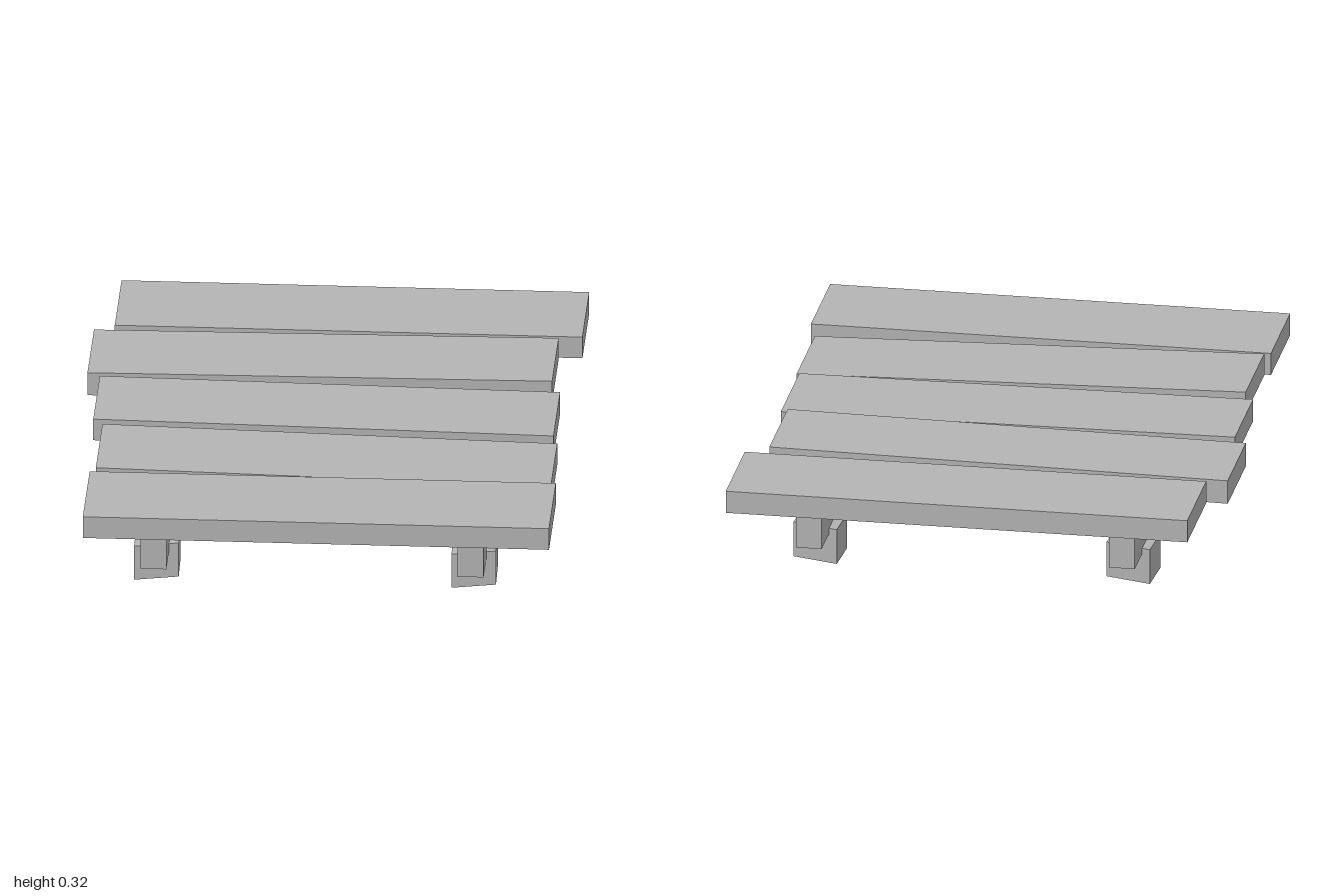
import * as THREE from 'three';

const wood = new THREE.MeshStandardMaterial({ color: 0xb4b4b4, side: THREE.DoubleSide });
wood.name = 'grey wood';

// Block spanning two ends along x; each end is { x, y: [low, high], z: [back, front] }
function block(name, left, right, openBottom) {
  const geo = new THREE.BoxGeometry(1, 1, 1);
  const p = geo.attributes.position;
  for (let i = 0; i < p.count; i++) {
    const end = p.getX(i) < 0 ? left : right;
    p.setXYZ(i, end.x, end.y[p.getY(i) < 0 ? 0 : 1], end.z[p.getZ(i) < 0 ? 0 : 1]);
  }
  // Leave out the underside of hollow parts
  if (openBottom) {
    const idx = Array.from(geo.index.array);
    idx.splice(18, 6);
    geo.setIndex(idx);
    geo.clearGroups();
  }
  geo.computeVertexNormals();
  const mesh = new THREE.Mesh(geo, wood);
  mesh.name = name;
  return mesh;
}

export function createModel() {
  const model = new THREE.Group();
  model.name = 'plankPlatform';

  // Five uneven deck planks, from back to front
  const planks = [
    [{ x: -0.78, y: [0.23, 0.31], z: [-1, -0.62] }, { x: 0.84, y: [0.23, 0.31], z: [-1, -0.62] }],
    [{ x: -0.85, y: [0.22, 0.305], z: [-0.59, -0.225] }, { x: 0.76, y: [0.24, 0.32], z: [-0.585, -0.22] }],
    [{ x: -0.805, y: [0.23, 0.31], z: [-0.19, 0.175] }, { x: 0.79, y: [0.215, 0.295], z: [-0.185, 0.185] }],
    [{ x: -0.77, y: [0.235, 0.315], z: [0.225, 0.595] }, { x: 0.805, y: [0.2, 0.28], z: [0.215, 0.58] }],
    [{ x: -0.79, y: [0.23, 0.31], z: [0.615, 1] }, { x: 0.825, y: [0.23, 0.31], z: [0.615, 1] }],
  ];
  planks.forEach(([l, r], i) => model.add(block(`plank${i + 1}`, l, r, true)));

  // Two long beams, each on two slightly skewed feet
  for (const [side, x] of [['right', -0.547], ['left', 0.552]]) {
    const span = { y: [0.11, 0.25], z: [-0.98, 0.98] };
    model.add(block(`${side}Beam`, { x: x - 0.045, ...span }, { x: x + 0.045, ...span }, false));

    for (const [place, z] of [['Front', 0.75], ['Back', -0.75]]) {
      const foot = block(
        `${side}${place}Foot`,
        { x: -0.077, y: [0, 0.127], z: [-0.078, 0.078] },
        { x: 0.077, y: [0.015, 0.142], z: [-0.078, 0.078] },
        true
      );
      foot.position.set(x, 0, z);
      foot.rotation.y = z > 0 ? 0.02 : -0.06;
      model.add(foot);
    }
  }
  return model;
}
